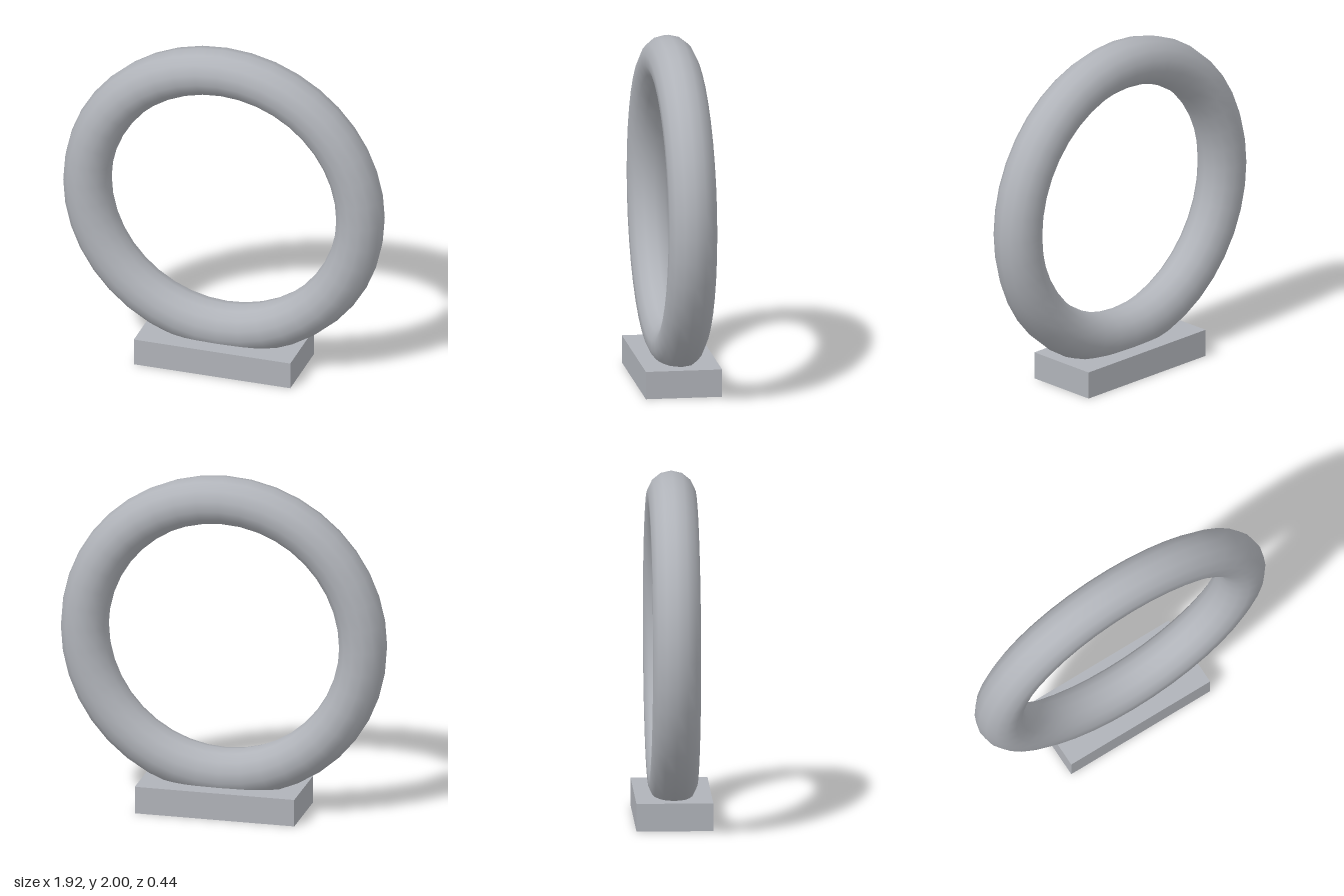
import * as THREE from 'three';

export function createModel() {
  const model = new THREE.Group();
  model.name = 'ringOnBase';

  const grey = new THREE.MeshStandardMaterial({ color: 0xb0b3b9 });
  grey.name = 'light grey';

  const add = (name, geometry, y) => {
    const mesh = new THREE.Mesh(geometry, grey);
    mesh.name = name;
    mesh.position.y = y;
    model.add(mesh);
  };

  // Flat rectangular plinth
  add('base', new THREE.BoxGeometry(0.94, 0.16, 0.44), 0.08);

  // Upright ring, its lowest part sunk into the plinth
  add('ring', new THREE.TorusGeometry(0.82, 0.14, 14, 40), 1.04);

  return model;
}
